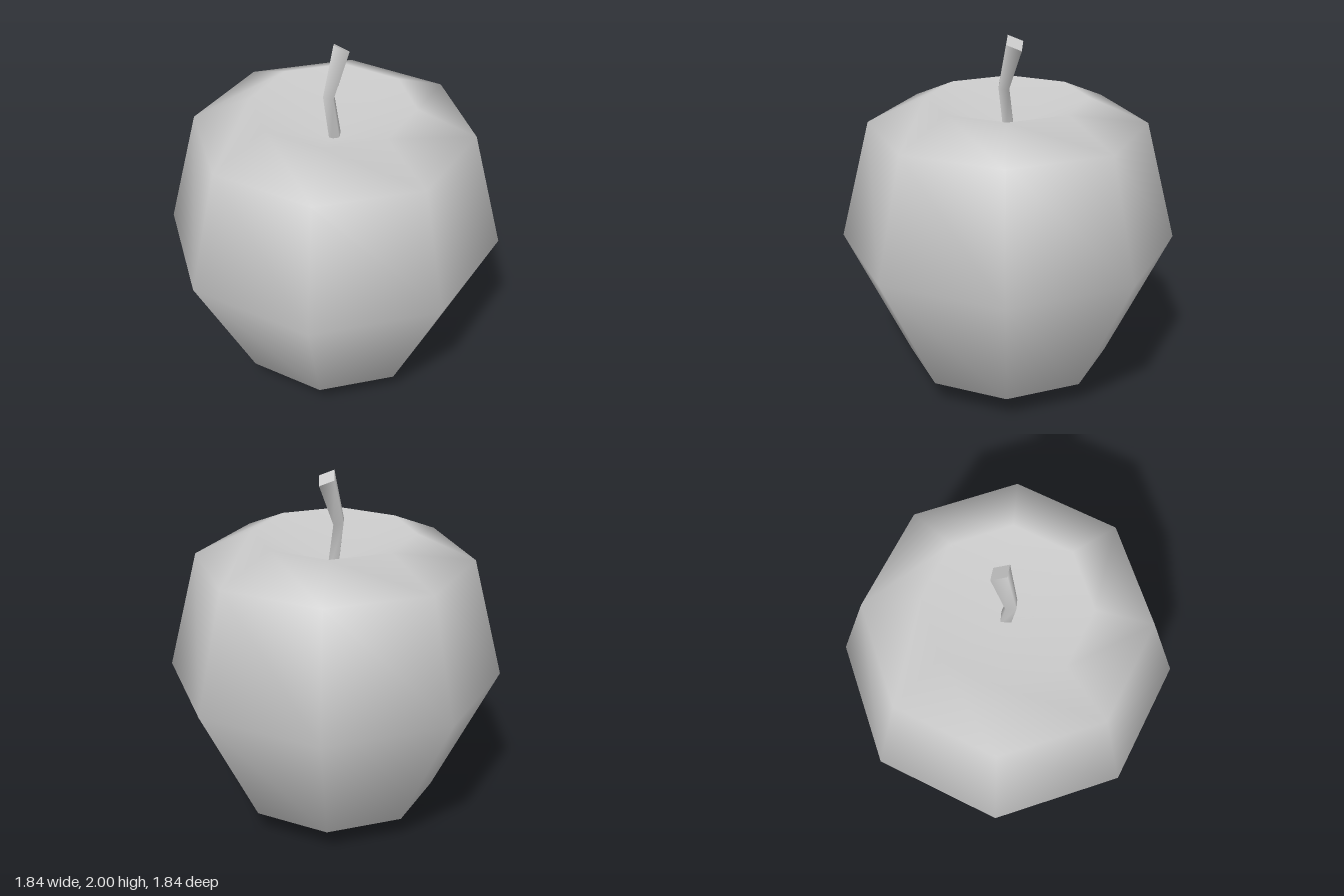
import * as THREE from 'three';

const grey = new THREE.MeshStandardMaterial({ color: 0xcccccc });
grey.name = 'plain grey';

// Eight-sided smooth fruit, dimpled at the top and underneath
function makeBody() {
  const profile = [
    [0, 0.1], [0.32, 0], [0.56, 0.14], [0.92, 0.86],
    [0.755, 1.52], [0.44, 1.66], [0, 1.45],
  ].map(([r, y]) => new THREE.Vector2(r, y));
  const geometry = new THREE.LatheGeometry(profile, 8);

  // Smooth the centres of both dimples
  const { normal } = geometry.attributes;
  const n = profile.length;
  for (let i = 0; i < normal.count; i++) {
    if (i % n === 0) normal.setXYZ(i, 0, -1, 0);
    if (i % n === n - 1) normal.setXYZ(i, 0, 1, 0);
  }
  const mesh = new THREE.Mesh(geometry, grey);
  mesh.name = 'fruitBody';
  return mesh;
}

// Four-sided stem, bent once and flaring to a slanted end
function makeStem() {
  const rings = [
    { x: 0.02, y: 1.4, r: 0.04, tilt: -0.1 },
    { x: -0.03, y: 1.71, r: 0.039, tilt: 0.26 },
    { x: 0.0525, y: 1.965, r: 0.063, tilt: 0.588 },
  ];
  const geometry = new THREE.CylinderGeometry(1, 1, 2, 4, 2);
  const { position, normal } = geometry.attributes;
  for (let i = 0; i < position.count; i++) {
    const ring = rings[Math.round(position.getY(i)) + 1];
    const c = Math.cos(ring.tilt), s = Math.sin(ring.tilt);
    const px = position.getX(i) * ring.r;
    position.setXYZ(i, ring.x + px * c, ring.y - px * s, position.getZ(i) * ring.r);
    const nx = normal.getX(i), ny = normal.getY(i);
    normal.setXYZ(i, nx * c + ny * s, ny * c - nx * s, normal.getZ(i));
  }
  const mesh = new THREE.Mesh(geometry, grey);
  mesh.name = 'stem';
  return mesh;
}

export function createModel() {
  const group = new THREE.Group();
  group.name = 'apple';
  group.add(makeBody(), makeStem());
  return group;
}
